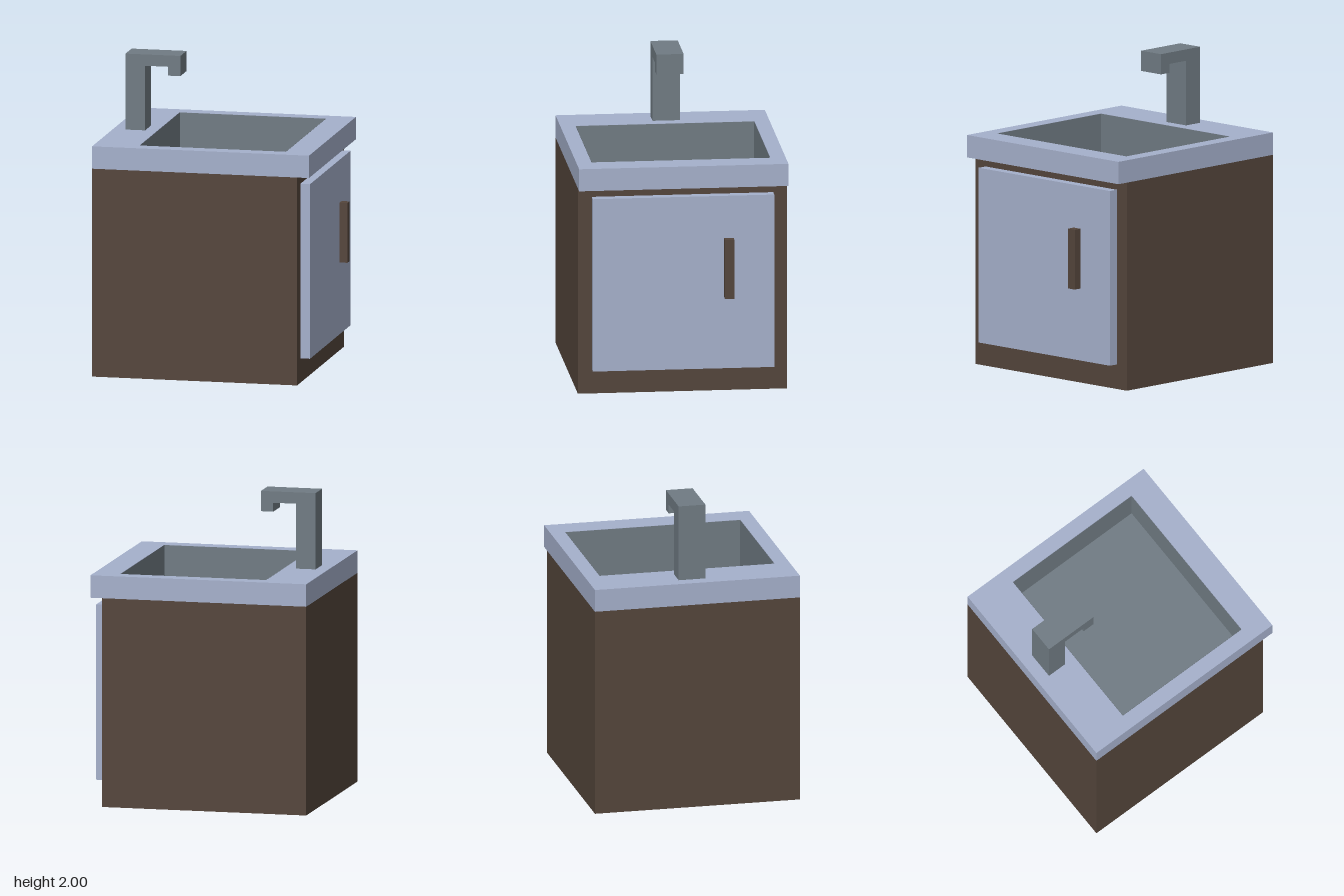
import * as THREE from 'three';

const paint = (color, side = THREE.FrontSide) =>
  new THREE.MeshStandardMaterial({ color, side });

// Box given by its lower and upper bounds on each axis; openTop drops the top face
function boxBetween([x0, x1], [y0, y1], [z0, z1], openTop = false) {
  const geo = new THREE.BoxGeometry(x1 - x0, y1 - y0, z1 - z0);
  if (openTop) {
    const index = Array.from(geo.index.array);
    index.splice(12, 6);
    geo.setIndex(index);
    geo.clearGroups();
  }
  return geo.translate((x0 + x1) / 2, (y0 + y1) / 2, (z0 + z1) / 2);
}

// Corner points of a rectangle
const rectangle = (x0, x1, y0, y1) =>
  [[x0, y0], [x1, y0], [x1, y1], [x0, y1]].map(([x, y]) => new THREE.Vector2(x, y));

export function createModel() {
  const model = new THREE.Group();
  model.name = 'sinkCabinet';

  const wood = paint(0x54453b);
  const paleBlue = paint(0xa5b0cb);
  const metal = paint(0x707b83);

  const add = (name, geometry, material) => {
    const mesh = new THREE.Mesh(geometry, material);
    mesh.name = name;
    model.add(mesh);
  };

  // Cabinet, open under the countertop so the basin can hang inside
  add('cabinet', boxBetween([-0.735, 0.614], [0, 1.358], [-0.675, 0.675], true),
    paint(0x54453b, THREE.DoubleSide));

  // Countertop slab with the basin cut-out
  const slab = new THREE.Shape(rectangle(-0.735, 0.692, -0.675, 0.675));
  slab.holes.push(new THREE.Path(rectangle(-0.445, 0.519, -0.577, 0.577)));
  const counter = new THREE.ExtrudeGeometry(slab, { depth: 0.146, bevelEnabled: false });
  counter.rotateX(-Math.PI / 2).translate(0, 1.358, 0);
  add('countertop', counter, paleBlue);

  // Basin lining
  add('basin', boxBetween([-0.443, 0.517], [1.18, 1.503], [-0.575, 0.575], true),
    paint(0x707b83, THREE.DoubleSide));

  // Door and handle on the +x side
  add('door', boxBetween([0.614, 0.678], [0.16, 1.3], [-0.585, 0.585]), paleBlue);
  add('doorHandle', boxBetween([0.678, 0.731], [0.63, 1.02], [-0.323, -0.262]), wood);

  // Faucet: one hooked outline extruded across its width
  const hook = new THREE.Shape([
    [-0.653, 1.504], [-0.524, 1.504], [-0.524, 1.926], [-0.373, 1.926],
    [-0.373, 1.868], [-0.292, 1.868], [-0.292, 2], [-0.653, 2],
  ].map(([x, y]) => new THREE.Vector2(x, y)));
  const faucet = new THREE.ExtrudeGeometry(hook, { depth: 0.176, bevelEnabled: false });
  add('faucet', faucet.translate(0, 0, -0.104), metal);

  return model;
}
